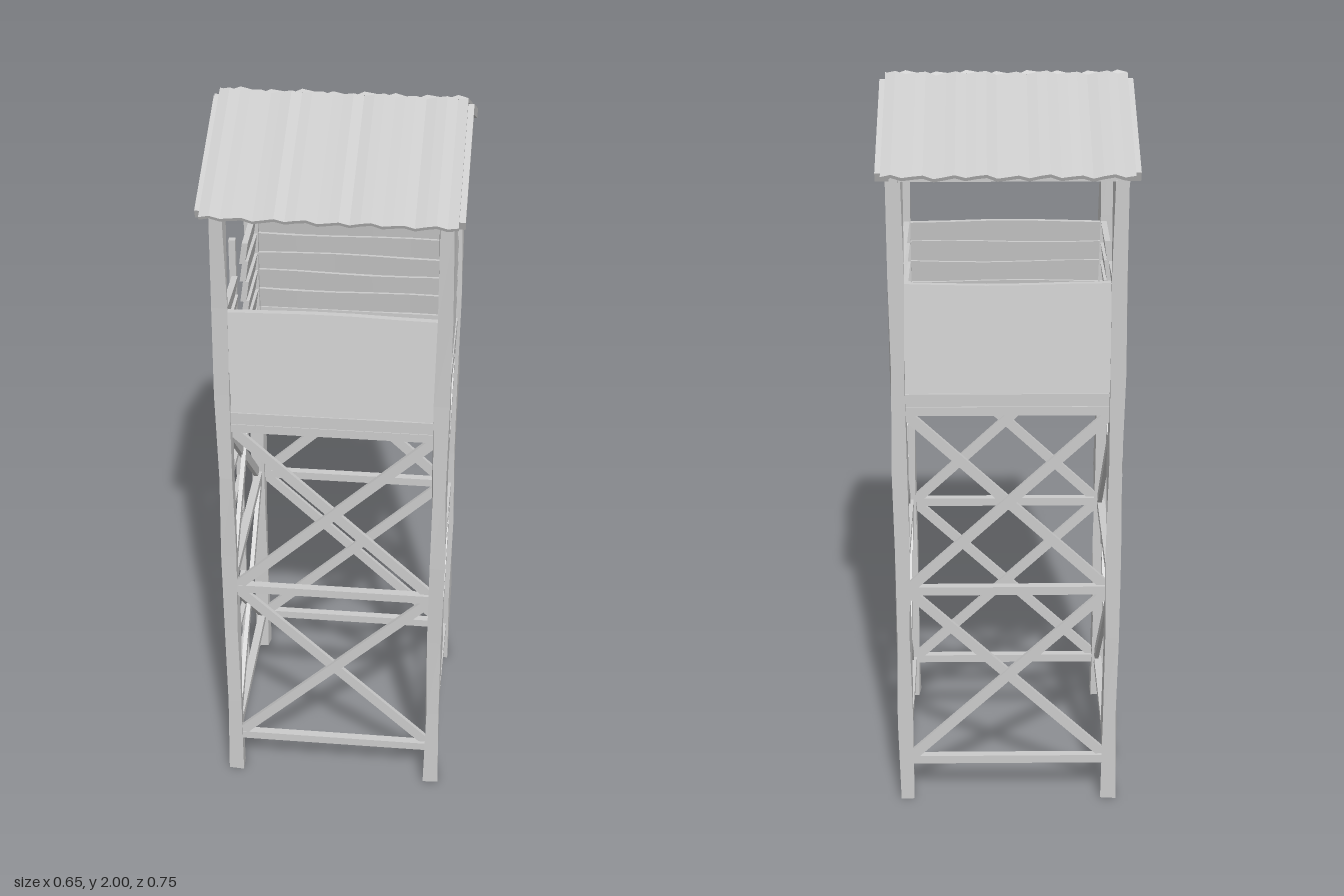
import * as THREE from 'three';

const mat = new THREE.MeshStandardMaterial({ color: 0xcccccc, flatShading: true, side: THREE.DoubleSide });
const POST = 0.282;   // distance of post axes from the centre
const SPAN = 0.265;   // half the clear width between posts

function add(parent, name, geometry, x = 0, y = 0, z = 0) {
  const mesh = new THREE.Mesh(geometry, mat);
  mesh.name = name;
  mesh.position.set(x, y, z);
  parent.add(mesh);
  return mesh;
}

function box(parent, name, w, h, d, x, y, z) {
  return add(parent, name, new THREE.BoxGeometry(w, h, d), x, y, z);
}

// Straight timber between two points
function timber(parent, name, a, b, w, d) {
  const p = new THREE.Vector3(...a), q = new THREE.Vector3(...b);
  const mesh = add(parent, name, new THREE.BoxGeometry(w, p.distanceTo(q), d));
  mesh.position.copy(p).add(q).multiplyScalar(0.5);
  mesh.quaternion.setFromUnitVectors(new THREE.Vector3(0, 1, 0), q.sub(p).normalize());
  return mesh;
}

// Post with slightly uneven, hand-hewn faces
function post(parent, x, z, seed) {
  const geo = new THREE.BoxGeometry(0.038, 1.79, 0.038, 1, 7, 1);
  const pos = geo.attributes.position;
  for (let i = 0; i < pos.count; i++) {
    const y = pos.getY(i);
    const side = Math.sign(pos.getX(i)) + 2 * Math.sign(pos.getZ(i));
    pos.setX(i, pos.getX(i) + 0.003 * Math.sin(y * 9 + seed + side));
    pos.setZ(i, pos.getZ(i) + 0.003 * Math.sin(y * 7 + seed * 2 + side));
  }
  add(parent, 'post', geo, x, 0.895, z);
}

// Overlapping boards, thicker at the bottom, with wavy long edges
function planks(parent, x0, x1, seed) {
  const rows = 5, h = 0.058;
  for (let r = 0; r < rows; r++) {
    const geo = new THREE.BoxGeometry(x1 - x0, h + 0.004, 0.016, 5, 1, 1);
    const pos = geo.attributes.position;
    for (let i = 0; i < pos.count; i++) {
      const x = pos.getX(i), low = pos.getY(i) < 0;
      pos.setY(i, pos.getY(i) + 0.003 * Math.sin(x * 11 + r * 2 + seed));
      pos.setZ(i, pos.getZ(i) + (low ? 0.006 : -0.003));
    }
    add(parent, 'wallPlank', geo, (x0 + x1) / 2, 1.225 + h * (r + 0.5), 0.277);
  }
}

// Corrugated sheet: a wavy strip extruded down the slope
function corrugatedSheet(length) {
  const columns = 24, half = 0.31, top = [], bottom = [];
  for (let i = 0; i <= columns; i++) {
    const x = -half + (2 * half * i) / columns;
    const y = 0.006 * Math.sin(i * 2.1) + 0.002 * Math.sin(i * 0.9);
    top.push(new THREE.Vector2(x, y + 0.005));
    bottom.unshift(new THREE.Vector2(x, y - 0.005));
  }
  return new THREE.ExtrudeGeometry(new THREE.Shape([...bottom, ...top]), { depth: length, bevelEnabled: false });
}

// One face of the tower, built facing +z
function towerSide(index) {
  const side = new THREE.Group();
  side.name = 'towerSide';
  for (const y of [0.123, 0.653, 1.176]) box(side, 'crossRail', 2 * SPAN, 0.024, 0.022, 0, y, POST);
  for (const [low, high] of [[0.135, 0.645], [0.66, 1.165]]) {
    for (const s of [-1, 1]) {
      timber(side, 'diagonalBrace', [-s * SPAN, low, POST + s * 0.004], [s * SPAN, high, POST + s * 0.004], 0.028, 0.012);
    }
  }
  box(side, 'floorEdge', 2 * SPAN, 0.034, 0.024, 0, 1.207, POST);
  if (index === 3) { // entrance side: gap for the ladder
    planks(side, -SPAN, -0.09, 1);
    planks(side, 0.09, SPAN, 4);
  } else {
    planks(side, -SPAN, SPAN, index * 1.7);
  }
  side.rotation.y = (index * Math.PI) / 2;
  return side;
}

export function createModel() {
  const model = new THREE.Group();
  model.name = 'watchtower';

  // Posts and faces
  [[1, 1], [1, -1], [-1, -1], [-1, 1]].forEach(([x, z], i) => post(model, x * POST, z * POST, i * 1.9));
  for (let i = 0; i < 4; i++) model.add(towerSide(i));
  box(model, 'floor', 0.55, 0.02, 0.55, 0, 1.195, 0);

  // Ladder on the -x side
  const ladder = new THREE.Group();
  ladder.name = 'ladder';
  for (const s of [-1, 1]) box(ladder, 'ladderRail', 0.018, 1.53, 0.016, -0.307, 0.765, s * 0.085);
  for (let i = 0; i < 9; i++) box(ladder, 'ladderRung', 0.014, 0.016, 0.165, -0.307, 0.2 + i * 0.114, 0);
  model.add(ladder);

  // Roof frame and two corrugated slopes
  const roof = new THREE.Group();
  roof.name = 'roof';
  const angle = Math.atan2(0.17, 0.37);
  for (const s of [-1, 1]) {
    box(roof, 'tieBeam', 0.03, 0.026, 0.62, s * 0.285, 1.801, 0);
    box(roof, 'eaveBeam', 0.6, 0.026, 0.03, 0, 1.801, s * POST);
    for (const x of [-0.308, 0.308]) {
      timber(roof, 'rafter', [x, 1.964, 0], [x, 1.81, s * 0.335], 0.034, 0.026);
    }
    const slope = new THREE.Group();
    slope.name = 'roofSlope';
    const sheet = add(slope, 'roofSheet', corrugatedSheet(0.409), 0, 1.988, 0);
    sheet.rotation.x = angle;
    if (s < 0) slope.rotation.y = Math.PI;
    roof.add(slope);
  }
  model.add(roof);
  return model;
}
